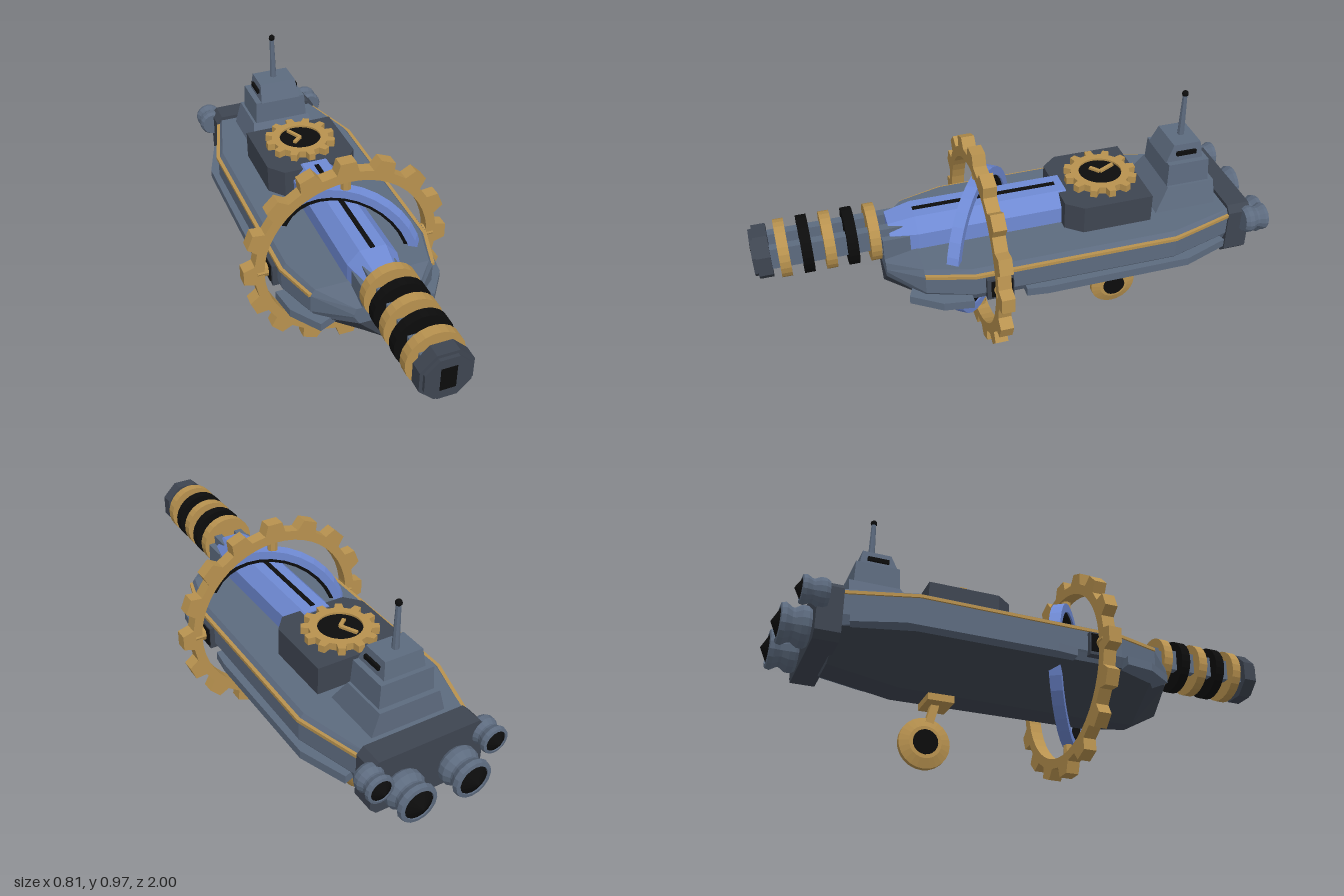
import * as THREE from 'three';

const mat = (color, flat = true) => new THREE.MeshStandardMaterial({ color, flatShading: flat, side: THREE.DoubleSide });
const SLATE = mat(0x5d6b7f), DARK = mat(0x3e4551), GOLD = mat(0xb8924f), BLACK = mat(0x0c0c0c), BLUE = mat(0x6f8ad4);

export function createModel() {
  const root = new THREE.Group();
  const add = (name, geo, material, x = 0, y = 0, z = 0) => {
    const m = new THREE.Mesh(geo, material);
    m.name = name;
    m.position.set(x, y, z);
    root.add(m);
    return m;
  };
  const box = (name, material, w, h, d, x, y, z) => add(name, new THREE.BoxGeometry(w, h, d), material, x, y, z);

  // Disc or drum lying along an axis
  const drum = (name, material, r, len, axis, x, y, z, sides = 24) => {
    const g = new THREE.CylinderGeometry(r, r, len, sides);
    if (axis === 'z') g.rotateX(Math.PI / 2).rotateZ(Math.PI / sides);
    if (axis === 'x') g.rotateZ(Math.PI / 2);
    return add(name, g, material, x, y, z);
  };

  // Box whose top is scaled and shifted along z
  const taperBox = (name, material, w, h, d, sx, sz, shift, x, y, z) => {
    const g = new THREE.BoxGeometry(w, h, d), p = g.attributes.position;
    for (let i = 0; i < p.count; i++) if (p.getY(i) > 0) {
      p.setX(i, p.getX(i) * sx);
      p.setZ(i, p.getZ(i) * sz + shift);
    }
    g.computeVertexNormals();
    return add(name, g, material, x, y + h / 2, z);
  };

  // Horizontal plate from [x, z] corners
  const plate = (name, material, pts, y, h) => {
    const shape = new THREE.Shape(pts.map(([x, z]) => new THREE.Vector2(x, -z)));
    const g = new THREE.ExtrudeGeometry(shape, { depth: h, bevelEnabled: false }).rotateX(-Math.PI / 2);
    return add(name, g, material, 0, y, 0);
  };

  // Mirrored loft: stations run front to back, half profiles run top to bottom
  const loft = (stations) => {
    const rings = stations.map(([z, half]) => [...half, ...half.map(([x, y]) => [-x, y]).reverse()]
      .map(([x, y]) => [x, y, z]));
    const n = rings[0].length, v = [];
    for (let i = 0; i < rings.length - 1; i++) for (let j = 0; j < n; j++) {
      const k = (j + 1) % n, a = rings[i], b = rings[i + 1];
      v.push(...a[j], ...a[k], ...b[j], ...a[k], ...b[k], ...b[j]);
    }
    const f = rings[0], e = rings[rings.length - 1];
    for (let k = 1; k < n - 1; k++) v.push(...f[0], ...f[k + 1], ...f[k], ...e[0], ...e[k], ...e[k + 1]);
    const g = new THREE.BufferGeometry();
    g.setAttribute('position', new THREE.Float32BufferAttribute(v, 3));
    g.computeVertexNormals();
    return g;
  };

  // Toothed ring centred on its own thickness, facing z
  const gear = (teeth, tip, rootR, hole, depth, tipA, baseA) => {
    const s = new THREE.Shape();
    const step = Math.PI * 2 / teeth, pts = [];
    for (let i = 0; i < teeth; i++) for (const [r, a] of [[rootR, -baseA], [tip, -tipA], [tip, tipA], [rootR, baseA]]) {
      const t = i * step + a;
      pts.push(new THREE.Vector2(r * Math.cos(t), r * Math.sin(t)));
    }
    s.setFromPoints(pts);
    s.holes.push(new THREE.Path().absarc(0, 0, hole, 0, Math.PI * 2, true));
    return new THREE.ExtrudeGeometry(s, { depth, bevelEnabled: false, curveSegments: 24 }).translate(0, 0, -depth / 2);
  };

  // Square-section ring facing z
  const band = (inner, outer, w) => new THREE.LatheGeometry(
    [[inner, -w], [outer, -w], [outer, w], [inner, w], [inner, -w]].map(([x, y]) => new THREE.Vector2(x, y / 2)), 32).rotateX(Math.PI / 2);

  // Hull: [z, half width, deck y, chine width, chine y, keel width, keel y]
  const hull = [
    [0.54, 0.12, 0.515, 0.10, 0.445, 0.004, 0.35],
    [0.42, 0.235, 0.54, 0.21, 0.41, 0.03, 0.285],
    [0.25, 0.285, 0.54, 0.265, 0.40, 0.05, 0.27],
    [-0.53, 0.292, 0.54, 0.27, 0.40, 0.06, 0.27],
    [-0.79, 0.215, 0.54, 0.2, 0.40, 0.06, 0.315],
  ];
  add('upperHull', loft(hull.map(([z, w, yd, wc, yc]) => [z, [[w * 0.93, yd], [w, yd - 0.025], [w, yc + 0.035], [wc, yc]]])), SLATE);
  add('lowerHull', loft(hull.map(([z, , , wc, yc, wk, yk]) => [z, [[wc, yc], [wk, yk]]])), DARK);
  const rim = hull.slice(1).map(([z, w]) => [w + 0.007, z]);
  plate('hullTrim', GOLD, [...rim, ...rim.map(([x, z]) => [-x, z]).reverse()], 0.512, 0.012);

  for (const s of [-1, 1]) {
    // Side ledges, broken where the great gear passes
    plate('rearLedge', SLATE, [[0.2, 0.06], [0.305, 0.06], [0.315, -0.02], [0.315, -0.58], [0.25, -0.76], [0.18, -0.74]].map(([x, z]) => [x * s, z]), 0.397, 0.033);
    plate('frontLedge', SLATE, [[0.2, 0.26], [0.312, 0.26], [0.295, 0.37], [0.22, 0.48], [0.15, 0.45]].map(([x, z]) => [x * s, z]), 0.397, 0.033);
    // Gear mounts
    box('gearMount', DARK, 0.06, 0.09, 0.1, s * 0.275, 0.46, 0.16);
    box('mountCollar', BLACK, 0.02, 0.07, 0.08, s * 0.3, 0.462, 0.155);
    drum('gearAxle', GOLD, 0.028, 0.06, 'x', s * 0.325, 0.462, 0.16, 8);
    // Vertical pins between the great gear and the tilted ring
    add('ringPin', new THREE.CylinderGeometry(0.02, 0.02, 0.065, 8), GOLD, 0, 0.457 + s * 0.307, 0.16);
  }

  // Great gear and tilted ring
  add('greatGear', gear(16, 0.407, 0.365, 0.327, 0.05, 0.074, 0.118), GOLD, 0, 0.457, 0.16).rotation.z = Math.PI / 2;
  for (const [name, a, b, w, m] of [['tiltedRing', 0.255, 0.288, 0.045, BLUE], ['ringLining', 0.238, 0.256, 0.03, BLACK]])
    add(name, band(a, b, w), m, 0, 0.457, 0.16).rotation.y = -0.61;

  // Barrel housing with its slot
  add('barrelHousing', loft([
    [0.51, [[0.04, 0.635], [0.07, 0.6], [0.07, 0.5]]],
    [0.41, [[0.05, 0.655], [0.095, 0.605], [0.095, 0.5]]],
    [-0.17, [[0.05, 0.655], [0.095, 0.605], [0.095, 0.5]]],
  ]), BLUE);
  box('housingSlot', BLACK, 0.018, 0.008, 0.55, 0, 0.654, 0.135);

  // Ringed barrel on two rails, with an eight-sided muzzle
  for (const s of [-1, 1]) {
    box('barrelRail', SLATE, 0.033, 0.085, 0.5, s * 0.045, 0.587, 0.71);
    box('railBracket', SLATE, 0.025, 0.1, 0.1, s * 0.078, 0.55, 0.49);
  }
  for (let i = 0; i < 5; i++) drum('barrelRing', i % 2 ? BLACK : GOLD, 0.106, 0.038, 'z', 0, 0.585, 0.565 + i * 0.081);
  drum('muzzle', DARK, 0.101, 0.05, 'z', 0, 0.585, 0.96, 8);
  drum('muzzleFace', DARK, 0.088, 0.014, 'z', 0, 0.585, 0.991, 8);
  box('muzzleBore', BLACK, 0.056, 0.09, 0.006, 0, 0.585, 0.997);

  // Clock block
  plate('clockBlock', DARK, [[0.18, -0.47], [0.18, -0.2], [0.13, -0.14], [-0.13, -0.14], [-0.18, -0.2], [-0.18, -0.47]], 0.53, 0.12);
  add('clockGear', gear(12, 0.14, 0.113, 0.082, 0.03, 0.09, 0.15).rotateX(-Math.PI / 2), GOLD, 0, 0.663, -0.325);
  drum('clockFace', BLACK, 0.084, 0.02, 'y', 0, 0.66, -0.325);
  for (const [len, dx, dz] of [[0.07, -0.03, -0.06], [0.045, -0.03, 0.025]]) {
    const hand = add('clockHand', new THREE.BoxGeometry(0.014, 0.01, len).translate(0, 0, len / 2), GOLD, 0, 0.674, -0.325);
    hand.rotation.y = Math.atan2(dx, dz);
  }

  // Stepped tower and mast
  taperBox('towerBase', SLATE, 0.3, 0.1, 0.25, 0.8, 0.76, -0.03, 0, 0.53, -0.625);
  taperBox('towerMiddle', SLATE, 0.22, 0.09, 0.17, 0.95, 0.96, 0, 0, 0.63, -0.645);
  taperBox('towerTop', SLATE, 0.165, 0.068, 0.15, 0.9, 0.72, -0.01, 0, 0.718, -0.635);
  box('towerSlit', BLACK, 0.176, 0.016, 0.08, 0, 0.752, -0.64);
  add('mast', new THREE.CylinderGeometry(0.009, 0.014, 0.18, 8), SLATE, 0, 0.865, -0.65);
  add('mastTip', new THREE.SphereGeometry(0.013, 8, 6), BLACK, 0, 0.96, -0.65);

  // Engine block and four nozzles
  add('engineBlock', loft([-0.78, -0.87].map((z) => [z, [[0.2, 0.555], [0.225, 0.53], [0.225, 0.36], [0.2, 0.335]]])), DARK);
  const profile = [[0, 0], [0.85, 0], [1, 0.12], [1, 0.28], [0.8, 0.45], [0.82, 0.52], [1, 0.68], [0.95, 0.8], [0.76, 0.82], [0.7, 0.7]];
  for (const [x, y, z, r, len] of [[0.11, 0.415, -0.865, 0.075, 0.135], [0.228, 0.495, -0.835, 0.053, 0.115]])
    for (const s of [-1, 1]) {
      const nozzle = new THREE.Group();
      nozzle.name = 'nozzle';
      nozzle.add(new THREE.Mesh(new THREE.LatheGeometry(profile.map(([a, b]) => new THREE.Vector2(a * r, b * len)), 16), SLATE));
      nozzle.add(new THREE.Mesh(new THREE.ConeGeometry(r * 0.76, len * 0.22, 16).translate(0, len * 0.89, 0), BLACK));
      nozzle.children.forEach((m, i) => { m.name = i ? 'nozzleCore' : 'nozzleShell'; });
      nozzle.position.set(s * x, y, z);
      nozzle.rotation.x = -Math.PI / 2;
      root.add(nozzle);
    }

  // Landing wheel
  box('wheelMount', GOLD, 0.12, 0.035, 0.1, 0, 0.262, -0.37);
  box('wheelStrut', GOLD, 0.03, 0.12, 0.03, 0, 0.215, -0.385).rotation.x = 0.25;
  const tyre = [[0.04, -0.022], [0.06, -0.022], [0.095, -0.01], [0.095, 0.01], [0.06, 0.022], [0.04, 0.022]];
  add('wheel', new THREE.LatheGeometry(tyre.map(([a, b]) => new THREE.Vector2(a, b)), 24).rotateZ(Math.PI / 2), GOLD, 0, 0.096, -0.41);
  drum('wheelHub', BLACK, 0.046, 0.056, 'x', 0, 0.096, -0.41, 20);
  return root;
}
